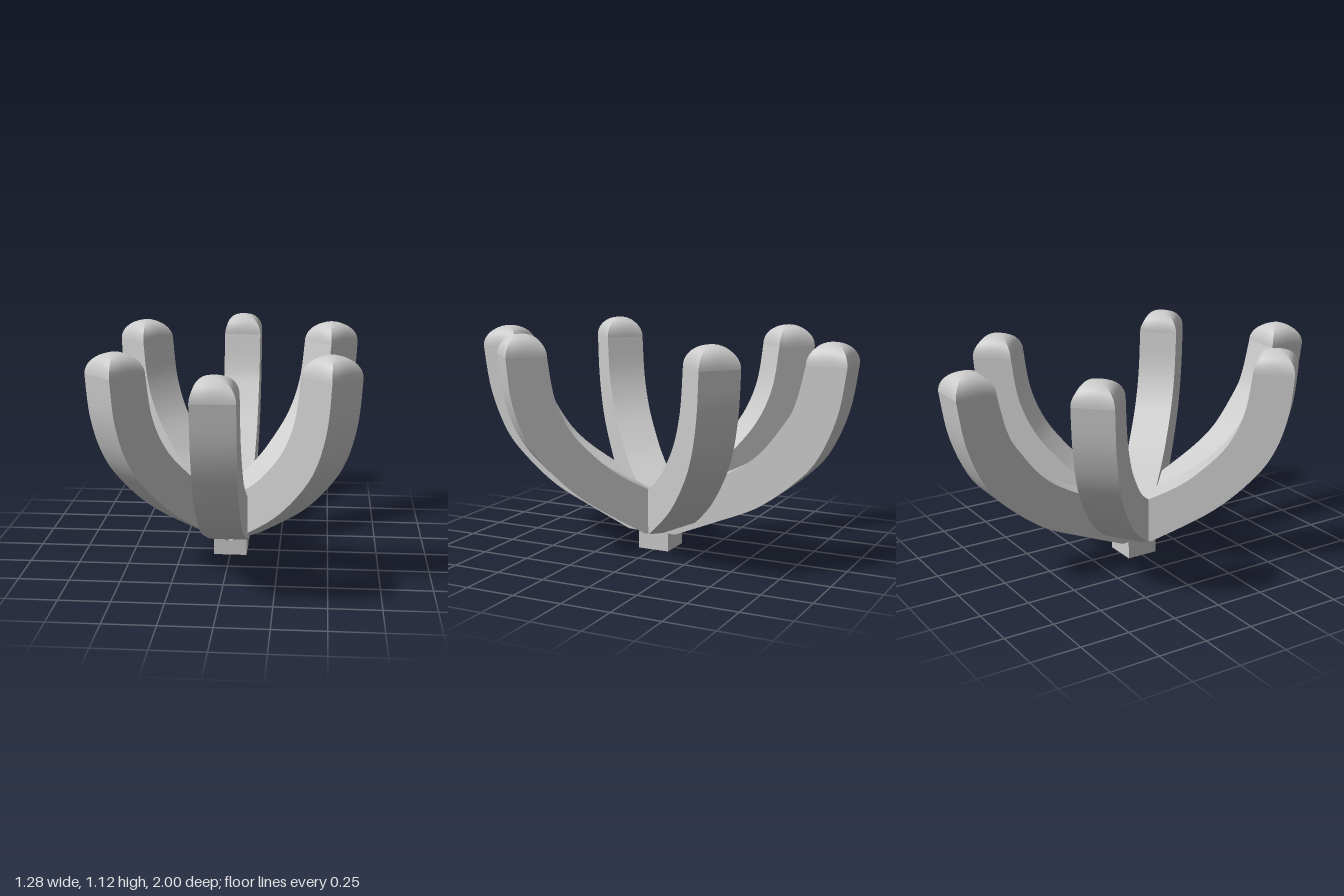
import * as THREE from 'three';
import { toCreasedNormals } from 'three/addons/utils/BufferGeometryUtils.js';

const material = new THREE.MeshStandardMaterial({ color: 0xcccccc });
const HALF = 0.1; // half the width of the square arm

const curve = (points) =>
  new THREE.SplineCurve(points.map(([r, y]) => new THREE.Vector2(r, y))).getPoints(28);

// Curved arm: side profile (radius, height) extruded to a square section
function armGeometry(outer, inner) {
  const shape = new THREE.Shape([
    new THREE.Vector2(0, 0.1),
    ...curve(outer),
    ...curve(inner),
  ]);
  const geo = new THREE.ExtrudeGeometry(shape, { depth: 2 * HALF, bevelEnabled: false });
  geo.translate(0, 0, -HALF);
  return toCreasedNormals(geo, 0.5);
}

// Domed tip: half sphere pushed out to a square plan, corner creases fading upward
function tipGeometry() {
  const geo = new THREE.SphereGeometry(1, 32, 12, 0, Math.PI * 2, 0, Math.PI / 2);
  const pos = geo.attributes.position;
  for (let i = 0; i < pos.count; i++) {
    const x = pos.getX(i), z = pos.getZ(i);
    const m = Math.hypot(x, z);
    const big = Math.max(Math.abs(x), Math.abs(z));
    if (big < 1e-6) continue;
    const n = Math.min(Math.abs(x), Math.abs(z)) / big;
    const k = (m / big) * (1 + 0.4 * Math.max(0, 1 - m) * (1 - n * n));
    pos.setX(i, x * k);
    pos.setZ(i, z * k);
  }
  geo.scale(HALF, 0.104, HALF);
  return toCreasedNormals(geo, 0.5);
}

export function createModel() {
  const model = new THREE.Group();
  model.name = 'sixArmedHolder';

  // Long arms reach front and back, short arms sit on the diagonals
  const longArm = {
    geo: armGeometry(
      [[0.13, 0.1], [0.355, 0.193], [0.57, 0.29], [0.755, 0.43], [0.87, 0.56], [0.96, 0.77], [1, 1]],
      [[0.8, 1], [0.757, 0.825], [0.7, 0.715], [0.54, 0.525], [0.27, 0.375], [0.05, 0.285], [0, 0.265]]
    ),
    radius: 0.9, top: 1.0, angles: [90, 270],
  };
  const shortArm = {
    geo: armGeometry(
      [[0.115, 0.1], [0.419, 0.29], [0.613, 0.47], [0.72, 0.624], [0.783, 0.813], [0.806, 1.02]],
      [[0.606, 1.02], [0.571, 0.813], [0.488, 0.64], [0.352, 0.494], [0.241, 0.408], [0.1, 0.33], [0, 0.275]]
    ),
    radius: 0.706, top: 1.02, angles: [45, 135, 225, 315],
  };
  const tipGeo = tipGeometry();

  for (const [name, arm] of Object.entries({ longArm, shortArm })) {
    for (const angle of arm.angles) {
      const group = new THREE.Group();
      group.name = name;
      const body = new THREE.Mesh(arm.geo, material);
      body.name = 'armBody';
      const tip = new THREE.Mesh(tipGeo, material);
      tip.name = 'armTip';
      tip.position.set(arm.radius, arm.top, 0);
      group.add(body, tip);
      group.rotation.y = THREE.MathUtils.degToRad(angle);
      model.add(group);
    }
  }

  // Square foot under the centre
  const foot = new THREE.Mesh(new THREE.BoxGeometry(0.168, 0.12, 0.166), material);
  foot.name = 'foot';
  foot.position.y = 0.06;
  model.add(foot);

  return model;
}
